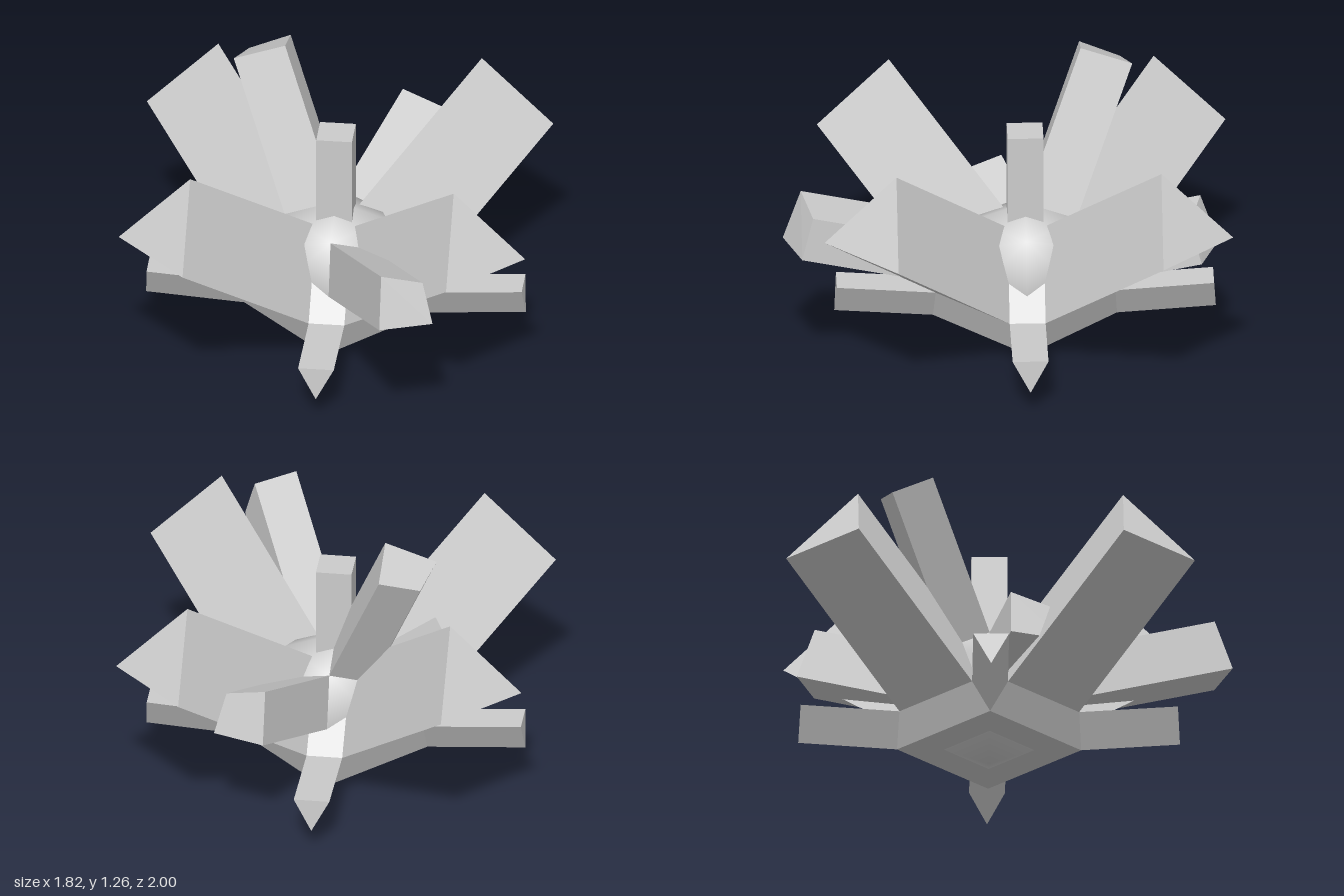
import * as THREE from 'three';
import { ConvexGeometry } from 'three/addons/geometries/ConvexGeometry.js';
import { mergeVertices } from 'three/addons/utils/BufferGeometryUtils.js';

const material = new THREE.MeshStandardMaterial({ color: 0xcccccc });
const V = (x, y, z) => new THREE.Vector3(x, y, z);
const signs = [-1, 1];

export function createModel() {
  const group = new THREE.Group();

  const add = (name, geometry) => {
    const mesh = new THREE.Mesh(geometry, material);
    mesh.name = name;
    group.add(mesh);
    return mesh;
  };
  // Straight prism: a face swept along a direction
  const prism = (name, face, sweep) =>
    add(name, new ConvexGeometry([...face, ...face.map((p) => p.clone().add(sweep))]));

  // Faceted base: square foot, eight shoulder corners, small square top
  const w = 0.08, r = 0.4, foot = 0.07, shoulder = 0.22, top = 0.54;
  const corners = [];
  for (const s of signs) {
    corners.push(V(s * 0.41, foot, 0), V(0, foot, s * 0.41));
    for (const t of signs) {
      corners.push(V(s * r, shoulder, t * w), V(t * w, shoulder, s * r), V(s * w, top, t * w));
    }
  }
  add('base', new ConvexGeometry(corners));

  // Four large three-sided crystals on the upper diagonals
  for (const sx of signs) for (const sz of signs) {
    const face = [V(sx * r, shoulder, sz * w), V(sx * w, shoulder, sz * r), V(sx * w, top, sz * w)];
    prism('largeCrystal', face, V(sx * 0.51, 0.51, sz * 0.51));
  }

  // Four low triangular arms, rising slightly outward
  const up = V(0, 1, 0);
  for (let i = 0; i < 4; i++) {
    const face = [V(r, shoulder, w), V(r, shoulder, -w), V(0.41, foot, 0)];
    const turn = (p) => p.applyAxisAngle(up, i * Math.PI / 2);
    prism('arm', face.map(turn), turn(V(0.44, 0.03, 0)));
  }

  // Upright square post
  const post = add('post', new THREE.BoxGeometry(2 * w, 0.44, 2 * w));
  post.position.y = 0.76;

  // Rounded core with kite-shaped facets and smooth normals
  const R = 0.31, b = 0.23, c = 0.18;
  const points = [];
  for (const s of signs) {
    points.push(V(s * R, 0, 0), V(0, s * R, 0), V(0, 0, s * R));
    for (const t of signs) {
      points.push(V(s * b, t * b, 0), V(s * b, 0, t * b), V(0, s * b, t * b));
      for (const u of signs) points.push(V(s * c, t * c, u * c));
    }
  }
  let ball = new ConvexGeometry(points);
  ball.deleteAttribute('normal');
  ball = mergeVertices(ball);
  ball.computeVertexNormals();
  add('core', ball).position.y = R;

  // Kite-shaped crystals growing from the core: main axis, octant and length
  const shards = [
    ['tallShard', 'y', [-1, 1, -1], 1],
    ['frontShard', 'z', [1, 1, 1], 1.216],
    ['backShard', 'z', [1, 1, -1], 0.85],
    ['shortShard', 'x', [-1, 1, 1], 0.36],
  ];
  for (const [name, axis, octant, length] of shards) {
    const sign = V(...octant);
    const tip = V(0, 0, 0);
    tip[axis] = R;
    const sides = ['x', 'y', 'z'].filter((k) => k !== axis).map((k) => {
      const p = V(0, 0, 0);
      p[axis] = p[k] = b;
      return p;
    });
    const sweep = V(0.255, 0.255, 0.255);
    sweep[axis] = 0.64;
    const face = [tip, ...sides, V(c, c, c)].map((p) => p.multiply(sign));
    prism(name, face, sweep.multiply(sign).multiplyScalar(length)).position.y = R;
  }

  // The whole cluster sits slightly behind the centre
  for (const mesh of group.children) mesh.position.z = -0.09;
  return group;
}
